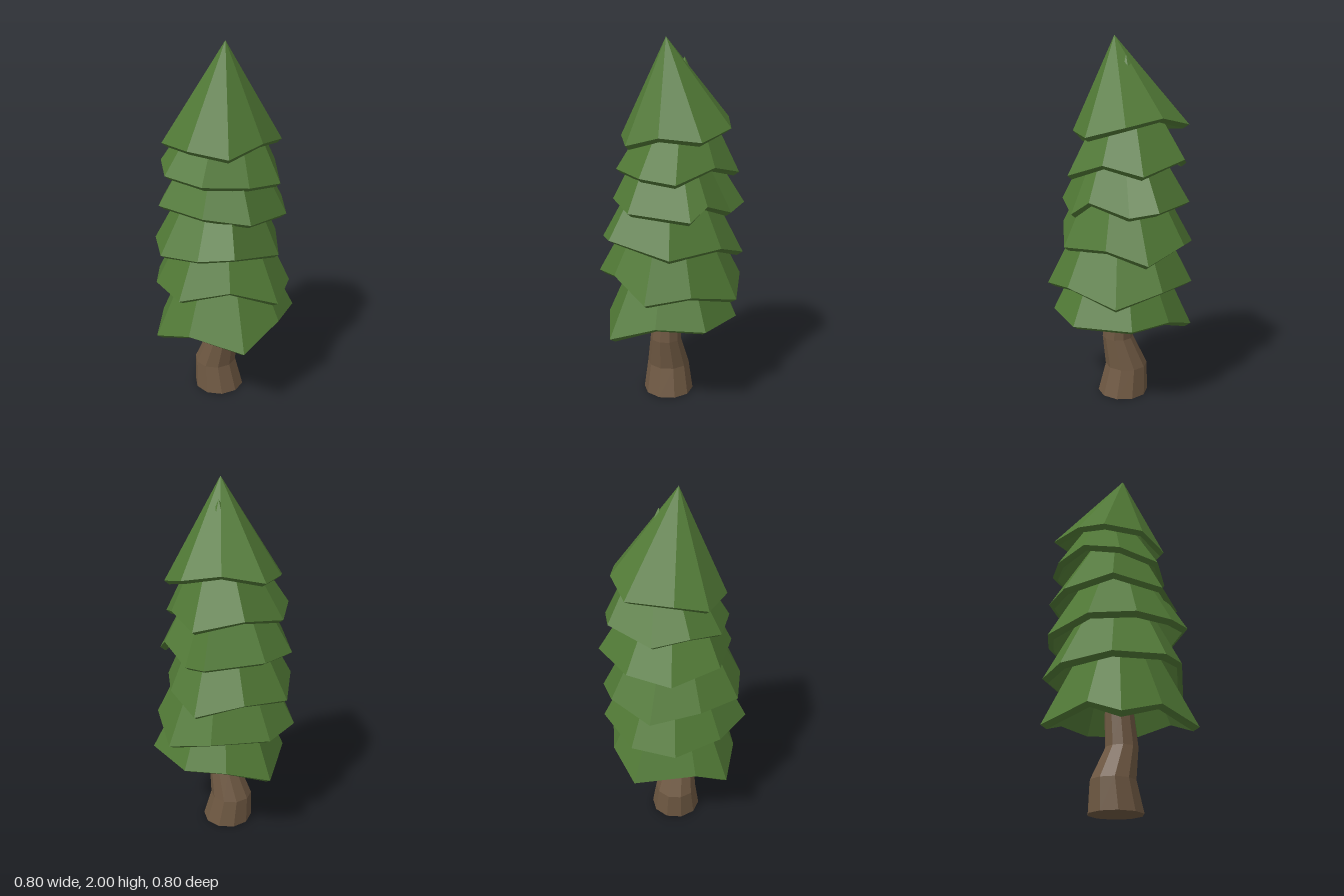
import * as THREE from 'three';

const leaf = new THREE.MeshStandardMaterial({ color: 0x507835, flatShading: true });
const bark = new THREE.MeshStandardMaterial({ color: 0x6e5842, flatShading: true });

// Faceted mesh from triangles given as lists of Vector3
function facetMesh(name, points, material) {
  const geometry = new THREE.BufferGeometry().setFromPoints(points);
  geometry.computeVertexNormals();
  const mesh = new THREE.Mesh(geometry, material);
  mesh.name = name;
  return mesh;
}

// Hollow, thick-walled cone with an uneven rim (rim runs front, right, back, left)
function branchTier(name, tip, rim) {
  const apex = new THREE.Vector3(...tip);
  const innerApex = apex.clone().setY(tip[1] - 0.07);
  const outer = rim.map(([x, y, z]) => new THREE.Vector3(x, y + 0.005, z));
  const inner = rim.map(([x, y, z]) => new THREE.Vector3(x * 0.92, y - 0.016, z * 0.92));
  const tris = [];
  rim.forEach((_, i) => {
    const j = (i + 1) % rim.length;
    tris.push(outer[i], outer[j], apex);
    tris.push(inner[j], inner[i], innerApex);
    tris.push(inner[i], inner[j], outer[j], inner[i], outer[j], outer[i]);
  });
  return facetMesh(name, tris, leaf);
}

// Crooked trunk lofted through rings of [x, y, z, radius]
function trunk() {
  const sides = 10;
  const rings = [
    [-0.025, 0, -0.015, 0.142], [-0.038, 0.16, -0.033, 0.119],
    [-0.025, 0.33, 0.015, 0.087], [-0.023, 0.5, 0.003, 0.078], [-0.01, 0.85, 0, 0.06],
  ];
  const at = ([x, y, z, r], i) => {
    const a = ((i + 0.3) / sides) * Math.PI * 2;
    return new THREE.Vector3(x + r * Math.sin(a), y, z + r * Math.cos(a));
  };
  const centre = ([x, y, z]) => new THREE.Vector3(x, y, z);
  const low = rings[0], high = rings[rings.length - 1];
  const tris = [];
  for (let i = 0; i < sides; i++) {
    for (let k = 0; k < rings.length - 1; k++) {
      const a = at(rings[k], i), b = at(rings[k], i + 1);
      const c = at(rings[k + 1], i + 1), d = at(rings[k + 1], i);
      tris.push(a, b, c, a, c, d);
    }
    tris.push(at(low, i + 1), at(low, i), centre(low));
    tris.push(at(high, i), at(high, i + 1), centre(high));
  }
  return facetMesh('trunk', tris, bark);
}

export function createModel() {
  const tree = new THREE.Group();
  tree.name = 'tree';
  tree.add(trunk());

  // Foliage from the crown down to the lowest branches
  tree.add(branchTier('crownTier', [-0.01, 2, 0.03], [
    [-0.125, 1.45, 0.24], [0.08, 1.505, 0.24], [0.275, 1.485, 0.14],
    [0.325, 1.54, -0.07], [0.215, 1.58, -0.245], [0.04, 1.54, -0.37],
    [-0.17, 1.52, -0.26], [-0.295, 1.48, -0.14], [-0.27, 1.48, 0.08],
  ]));
  tree.add(branchTier('secondTier', [0.06, 1.9, -0.04], [
    [-0.02, 1.295, 0.27], [0.19, 1.28, 0.25], [0.3, 1.35, 0.05],
    [0.33, 1.3, -0.16], [0.16, 1.37, -0.355], [-0.1, 1.32, -0.355],
    [-0.25, 1.36, -0.24], [-0.325, 1.325, -0.06], [-0.24, 1.31, 0.17],
  ]));
  tree.add(branchTier('thirdTier', [0, 1.76, 0], [
    [-0.05, 1.12, 0.33], [0.26, 1.09, 0.22], [0.3, 1.16, 0.12],
    [0.325, 1.09, -0.09], [0.325, 1.12, -0.24], [0.04, 1.13, -0.38],
    [-0.2, 1.11, -0.33], [-0.345, 1.155, -0.1], [-0.25, 1.15, 0.19],
  ]));
  tree.add(branchTier('fourthTier', [0, 1.62, 0], [
    [-0.16, 0.965, 0.35], [0.17, 0.89, 0.28], [0.335, 0.92, 0.03],
    [0.35, 0.85, -0.19], [0.16, 0.92, -0.36], [-0.11, 0.88, -0.395],
    [-0.31, 0.93, -0.22], [-0.4, 0.92, 0.01], [-0.3, 0.94, 0.22],
  ]));
  tree.add(branchTier('fifthTier', [0, 1.46, 0], [
    [0.09, 0.665, 0.39], [0.28, 0.7, 0.24], [0.4, 0.63, -0.03],
    [0.3, 0.7, -0.26], [0.01, 0.68, -0.4], [-0.23, 0.68, -0.34],
    [-0.37, 0.71, -0.11], [-0.38, 0.71, 0.16], [-0.16, 0.76, 0.31],
  ]));
  tree.add(branchTier('lowestTier', [0, 1.28, 0], [
    [-0.13, 0.43, 0.4], [0.13, 0.53, 0.35], [0.345, 0.51, 0.2],
    [0.36, 0.5, -0.11], [0.22, 0.51, -0.29], [0, 0.43, -0.4],
    [-0.28, 0.475, -0.21], [-0.4, 0.4, -0.07], [-0.32, 0.475, 0.15],
  ]));
  return tree;
}
